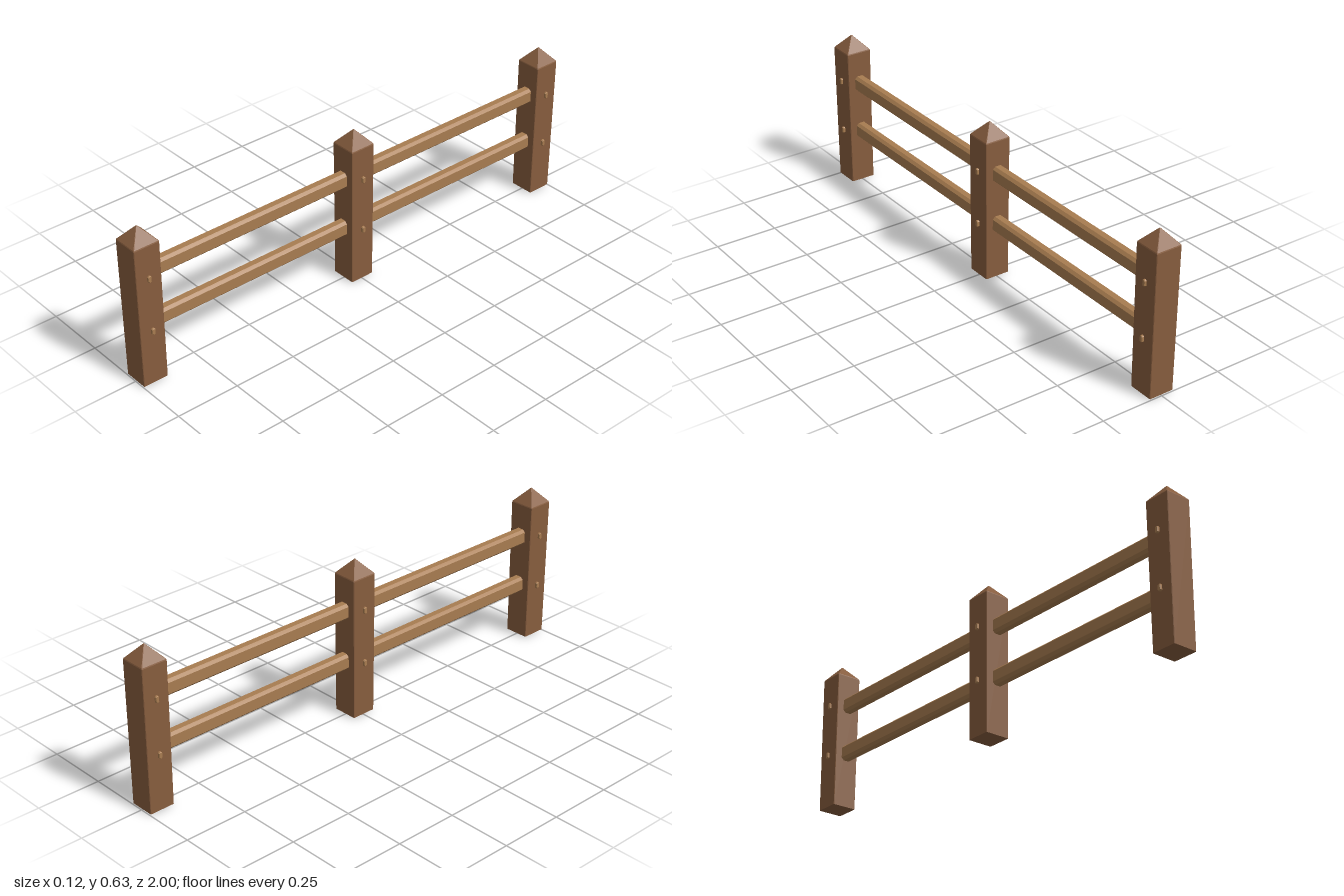
import * as THREE from 'three';

const postWood = new THREE.MeshStandardMaterial({ color: 0x875d3e, flatShading: true });
const railWood = new THREE.MeshStandardMaterial({ color: 0xa87c50, flatShading: true });

// Rectangle with chamfered corners, as a ring of eight points at height y
function ring([y, hx, hz, c]) {
  const corners = [
    [hx, -hz + c], [hx, hz - c], [hx - c, hz], [-hx + c, hz],
    [-hx, hz - c], [-hx, -hz + c], [-hx + c, -hz], [hx - c, -hz],
  ];
  return corners.map(([x, z]) => [x, y, z]);
}

// Closed solid through sections [y, half width x, half width z, chamfer], bottom to top
function loft(sections) {
  const rings = sections.map(ring);
  const last = rings[rings.length - 1];
  const out = [];
  for (let s = 0; s < rings.length - 1; s++) {
    for (let i = 0; i < 8; i++) {
      const j = (i + 1) % 8;
      const a = rings[s][i], b = rings[s][j], c = rings[s + 1][i], d = rings[s + 1][j];
      out.push(...a, ...c, ...b, ...b, ...c, ...d);
    }
  }
  for (let i = 1; i < 7; i++) {
    out.push(...rings[0][0], ...rings[0][i], ...rings[0][i + 1]);
    out.push(...last[0], ...last[i + 1], ...last[i]);
  }
  const geometry = new THREE.BufferGeometry();
  geometry.setAttribute('position', new THREE.Float32BufferAttribute(out, 3));
  geometry.computeVertexNormals();
  return geometry;
}

export function createModel() {
  const group = new THREE.Group();
  const add = (name, geometry, material, y, z) => {
    const mesh = new THREE.Mesh(geometry, material);
    mesh.name = name;
    mesh.position.set(0, y, z);
    group.add(mesh);
  };

  // Post: shallow point underneath, slight flare upward, pyramid top
  const post = loft([
    [0.002, 0.006, 0.006, 0.001],
    [0.006, 0.05, 0.05, 0.002],
    [0.568, 0.052, 0.052, 0.002],
    [0.572, 0.0505, 0.0505, 0.002],
    [0.626, 0.003, 0.003, 0.001],
    [0.628, 0.001, 0.001, 0.0003],
  ]);

  // Rail: chamfered beam running along z
  const rail = loft([
    [-0.475, 0.022, 0.031, 0.01],
    [0.475, 0.022, 0.031, 0.01],
  ]).rotateX(Math.PI / 2);

  // Peg: driven through the post along x, ends eased
  const peg = loft([
    [-0.06, 0.011, 0.005, 0.003],
    [-0.057, 0.013, 0.007, 0.004],
    [0.057, 0.013, 0.007, 0.004],
    [0.06, 0.011, 0.005, 0.003],
  ]).rotateZ(Math.PI / 2);

  const levels = [{ name: 'lower', rail: 0.231, peg: 0.224 }, { name: 'upper', rail: 0.438, peg: 0.44 }];

  for (const [place, z] of [['front', 0.948], ['middle', 0], ['back', -0.948]]) {
    add(`${place}Post`, post, postWood, 0, z);
    for (const level of levels) add(`${place}${level.name}Peg`, peg, railWood, level.peg, z);
  }
  for (const [place, z] of [['front', 0.474], ['back', -0.474]]) {
    for (const level of levels) add(`${place}${level.name}Rail`, rail, railWood, level.rail, z);
  }
  return group;
}
